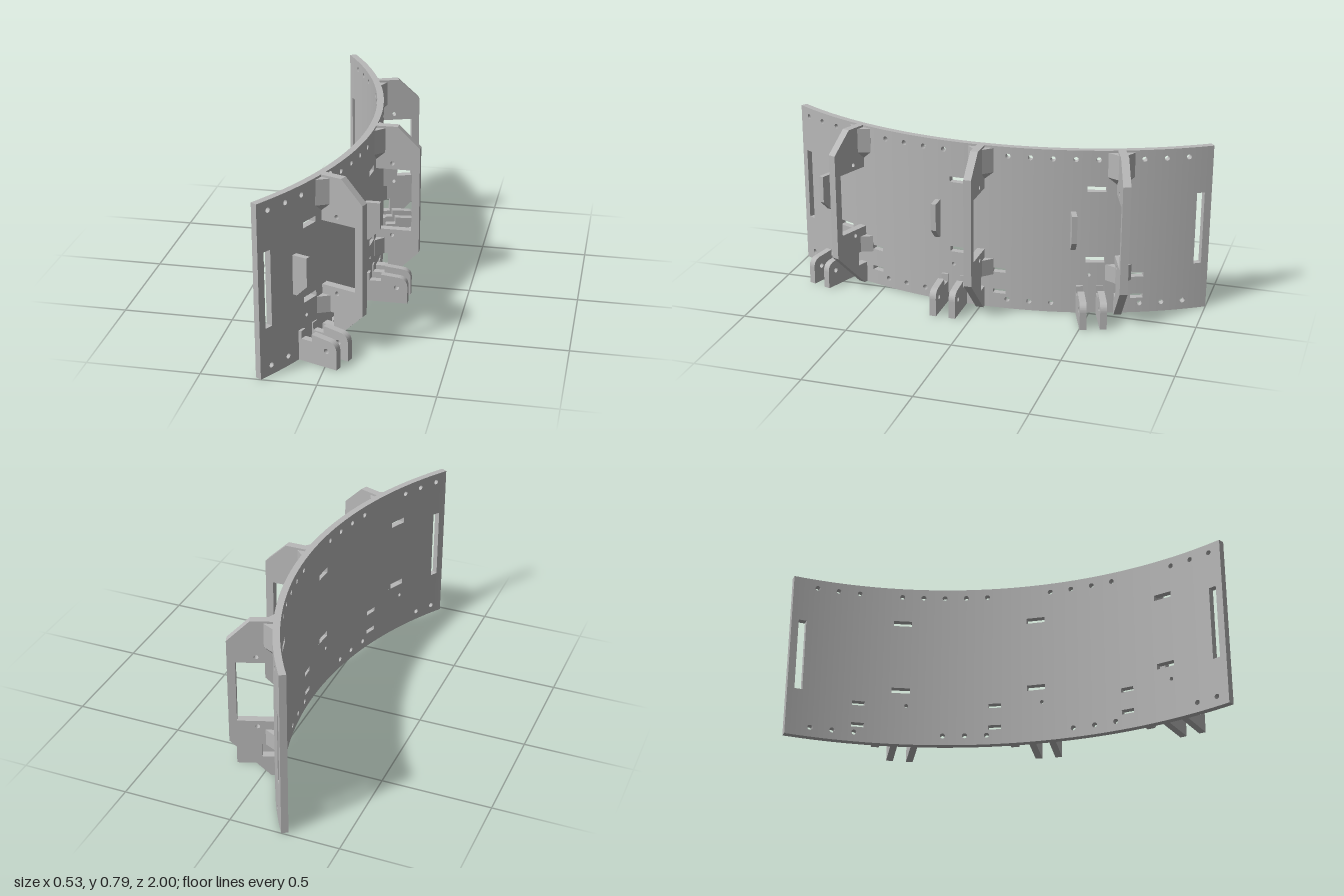
import * as THREE from 'three';
import { ConvexGeometry } from 'three/addons/geometries/ConvexGeometry.js';

const R = 1.82, T = 0.031, CX = 1.758, H = 0.79;   // outer radius, wall, arc centre at x = -CX
const HALF = R * Math.asin(1 / R);                 // half arc length
const STEP = Math.PI / 9;                          // 20 degrees between bracket stations
const steel = new THREE.MeshStandardMaterial({ color: 0xb8b8b8 });
steel.name = 'steel grey';

const poly = pts => new THREE.Shape(pts.map(p => new THREE.Vector2(...p)));
const rect = (x0, x1, y0, y1) => poly([[x0, y0], [x1, y0], [x1, y1], [x0, y1]]);
const disc = (x, y, r) => {
  const p = new THREE.Path();
  p.absarc(x, y, r, 0, Math.PI * 2);
  return p;
};
const part = (geo, name) => {
  const m = new THREE.Mesh(geo, steel);
  m.name = name;
  return m;
};

// Upright flat plate: profile in x/y, spanning z0..z1
function plate(shape, z0, z1, name) {
  const geo = new THREE.ExtrudeGeometry(shape, { depth: z1 - z0, bevelEnabled: false, curveSegments: 10 });
  geo.translate(CX, 0, z0);
  return part(geo, name);
}

// Keep the part of a polygon on one side of the line x = at
function clip(points, at, sign) {
  const out = [];
  points.forEach((a, i) => {
    const b = points[(i + 1) % points.length];
    const da = (a.x - at) * sign, db = (b.x - at) * sign;
    if (da >= 0) out.push(a);
    if (da * db < 0) out.push(a.clone().lerp(b, da / (da - db)));
  });
  return out;
}

// Cut a flat extrusion into narrow strips and wrap it round the arc
function bend(geo, width) {
  const flat = geo.index ? geo.toNonIndexed() : geo;
  const P = flat.attributes.position, N = flat.attributes.normal;
  const pos = [], nor = [];
  const v = (a, i) => new THREE.Vector3().fromBufferAttribute(a, i);
  for (let i = 0; i < P.count; i += 3) {
    const tri = [v(P, i), v(P, i + 1), v(P, i + 2)], n = v(N, i);
    const xs = tri.map(p => p.x);
    const first = Math.floor(Math.min(...xs) / width), last = Math.floor(Math.max(...xs) / width);
    for (let k = first; k <= last; k++) {
      const cell = clip(clip(tri, k * width, 1), (k + 1) * width, -1);
      for (let j = 1; j + 1 < cell.length; j++) {
        for (const p of [cell[0], cell[j], cell[j + 1]]) {
          const a = p.x / R, c = Math.cos(a), s = Math.sin(a), r = R - T + p.z;
          pos.push(r * c - CX, p.y, -r * s);
          nor.push(n.z * c - n.x * s, n.y, -n.z * s - n.x * c);
        }
      }
    }
  }
  const out = new THREE.BufferGeometry();
  out.setAttribute('position', new THREE.Float32BufferAttribute(pos, 3));
  out.setAttribute('normal', new THREE.Float32BufferAttribute(nor, 3));
  return out;
}

// Curved wall with bolt holes, end windows and station slots
function wall() {
  const shape = rect(-HALF, HALF, 0, H);
  const hole = (s, y, r) => shape.holes.push(disc(-s, y, r));
  const slot = (s0, s1, y0, y1) => shape.holes.push(rect(-s1, -s0, y0, y1));
  const topGaps = [3, 4, 9, 10, 16];
  const bottomRow = [0, 1, 5, 6, 7, 11, 12, 13, 17, 18, 19];
  for (let i = 0; i < 20; i++) {
    const s = 0.996 - 0.102 * i;
    if (!topGaps.includes(i)) hole(s, 0.747, 0.012);
    if (bottomRow.includes(i)) hole(s, 0.045, 0.012);
  }
  slot(0.988, 1.025, 0.225, 0.57);
  slot(-1.025, -0.988, 0.225, 0.57);
  for (const k of [-1, 0, 1]) {
    const s = k * STEP * R;
    for (const y of [0.252, 0.594]) slot(s + 0.064, s + 0.15, y, y + 0.026);
    for (const y of [0.072, 0.178]) slot(s - 0.118, s - 0.058, y, y + 0.021);
    hole(s + 0.134, 0.19, 0.009);
  }
  const geo = new THREE.ExtrudeGeometry(shape, { depth: T, bevelEnabled: false, curveSegments: 8 });
  return part(bend(geo, 0.035), 'curvedWall');
}

// Corner block between wall and bracket, optionally running to a point below
function gusset(side, y0, y1, tip, name) {
  const pts = [];
  for (const y of [y0, y1]) {
    pts.push([0.05, y, 0.01], [0.103, y, 0.01], [0.103, y, 0.018], [0.062, y, 0.06], [0.05, y, 0.06]);
  }
  if (tip !== null) pts.push([0.062, tip, 0.018]);
  const geo = new ConvexGeometry(pts.map(([x, y, z]) => new THREE.Vector3(x + CX, y, z * side)));
  return part(geo, name);
}

// One station: C-shaped bracket, gussets, stop fin and clevis pair
function station(k) {
  const g = new THREE.Group();
  g.name = 'bracketStation' + (k + 2);
  g.position.x = -CX;
  g.rotation.y = -k * STEP;

  const bracket = poly([
    [0.045, 0], [0.082, 0], [0.262, 0.18], [0.262, 0.69], [0.16, H], [0.045, H],
    [0.045, 0.585], [0.226, 0.585], [0.226, 0.287], [0.045, 0.287],
    [0.045, 0.165], [0.119, 0.165], [0.119, 0.1], [0.045, 0.1],
  ]);
  bracket.holes.push(disc(0.137, 0.614, 0.01), disc(0.137, 0.259, 0.01));
  g.add(plate(bracket, -0.018, 0.018, 'mainBracket'));

  for (const side of [-1, 1]) {
    g.add(gusset(side, 0.665, 0.78, 0.63, 'upperGusset'));
    g.add(gusset(side, 0.165, 0.243, null, 'lowerGusset'));
  }

  const fin = poly([[0.04, 0.32], [0.068, 0.32], [0.118, 0.37], [0.118, 0.5], [0.04, 0.5]]);
  g.add(plate(fin, 0.198, 0.222, 'stopFin'));

  const clevis = poly([[0.04, 0], [0.24, 0], [0.24, 0.085]]);
  clevis.quadraticCurveTo(0.238, 0.122, 0.2, 0.127);
  for (const p of [[0.118, 0.136], [0.118, 0.103], [0.066, 0.103], [0.066, 0.138], [0.04, 0.138]]) {
    clevis.lineTo(...p);
  }
  clevis.holes.push(disc(0.19, 0.077, 0.012));
  for (const z of [0.068, 0.16]) g.add(plate(clevis, z, z + 0.031, 'clevisPlate'));
  return g;
}

export function createModel() {
  const model = new THREE.Group();
  model.name = 'curvedBracketWall';
  model.add(wall());
  for (const k of [-1, 0, 1]) model.add(station(k));
  return model;
}
